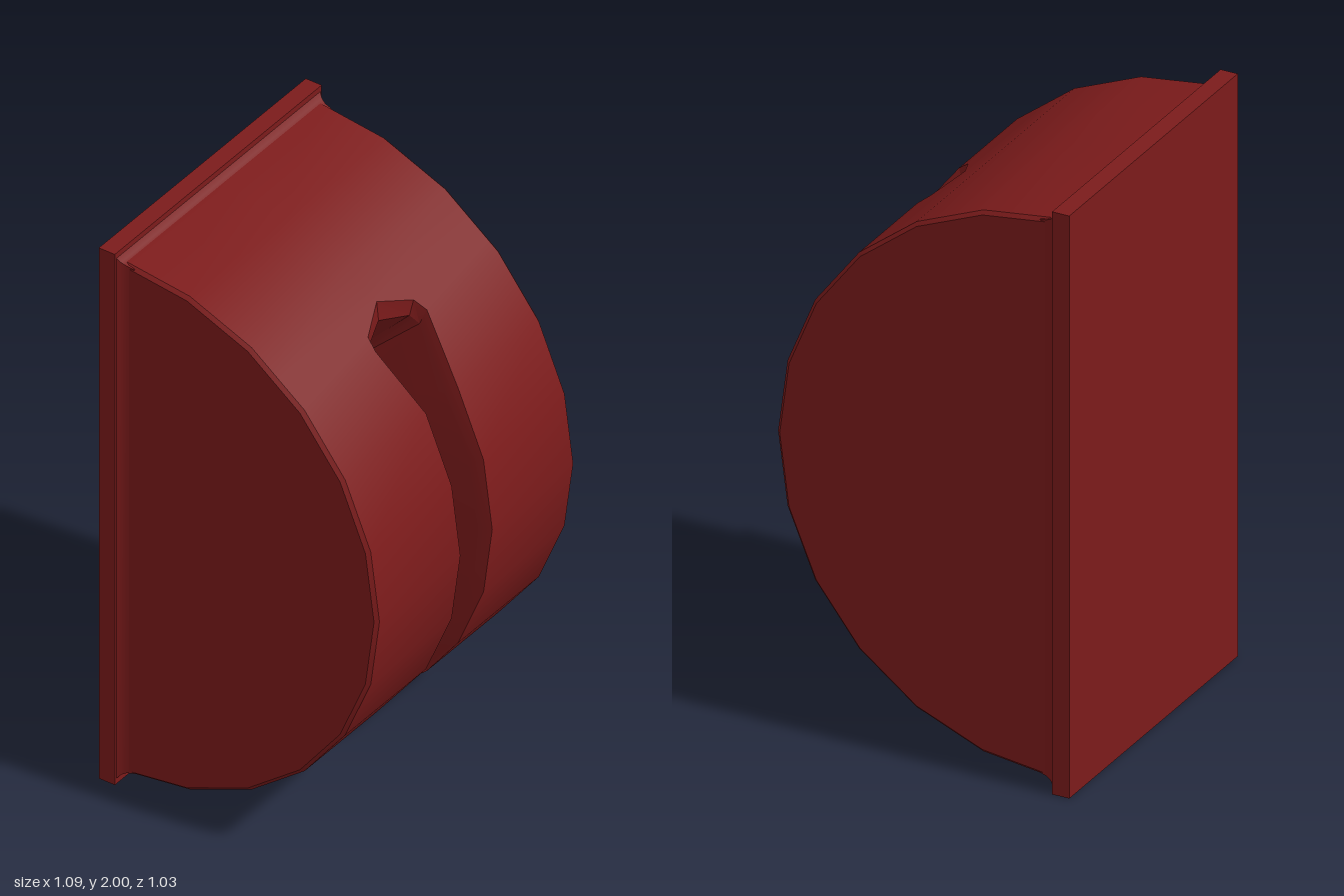
import * as THREE from 'three';
import { toCreasedNormals } from 'three/addons/utils/BufferGeometryUtils.js';

const R = 0.962, AXIS_Z = -0.447, STEP = 15;

// Point on a faceted arc (15 degree chords) around the body's axis
function arcPoint(x, deg, r) {
  const k = Math.floor(deg / STEP), f = deg / STEP - k;
  const a = THREE.MathUtils.degToRad(k * STEP), b = THREE.MathUtils.degToRad((k + 1) * STEP);
  const c = THREE.MathUtils.lerp(Math.cos(a), Math.cos(b), f);
  const s = THREE.MathUtils.lerp(Math.sin(a), Math.sin(b), f);
  return new THREE.Vector3(x, 1 + r * s, AXIS_Z + r * c);
}

// Collects quads and triangles, leaving out collapsed ones
class Faces {
  constructor() { this.data = []; }
  tri(a, b, c) {
    if (new THREE.Triangle(a, b, c).getArea() < 1e-8) return;
    for (const p of [a, b, c]) this.data.push(p.x, p.y, p.z);
  }
  quad(a, b, c, d) { this.tri(a, b, c); this.tri(a, c, d); }
  build(crease) {
    const g = new THREE.BufferGeometry();
    g.setAttribute('position', new THREE.Float32BufferAttribute(this.data, 3));
    g.computeVertexNormals();
    return toCreasedNormals(g, crease);
  }
}

// Half drum with a flared, pointed slot: one cross-section per angle
function drumGeometry() {
  // outer angle, slot half width at the rim, inner angle, slot half width inside
  const half = [
    [0, 0.084, 0, 0.073], [15, 0.084, 15, 0.073], [30, 0.084, 30, 0.073],
    [45, 0.135, 43.5, 0.125], [48, 0.12, 46, 0.11], [52, 0, 49, 0],
    [60, 0], [75, 0], [90, 0],
  ];
  const mirrored = half.slice(1).reverse().map(([t, w, ti, wi]) => [-t, w, ti === undefined ? ti : -ti, wi]);
  const rows = [...mirrored, ...half].map(([t, w, ti, wi]) => {
    const slot = ti !== undefined;
    const p = [arcPoint(-0.522, t, R - 0.012), arcPoint(-0.51, t, R), arcPoint(-w, t, R)];
    if (slot) p.push(arcPoint(-wi, ti, 0.912), arcPoint(-wi, ti, 0.38));
    else p.push(p[2], p[2]);
    // mirror to the left half
    for (let i = 4; i >= 0; i--) p.push(p[i].clone().setX(-p[i].x));
    return { p, slot };
  });
  const f = new Faces();
  const hubR = new THREE.Vector3(-0.522, 1, AXIS_Z), hubL = new THREE.Vector3(0.522, 1, AXIS_Z);
  for (let i = 0; i < rows.length - 1; i++) {
    const lo = rows[i], hi = rows[i + 1];
    for (let j = 0; j < 9; j++) {
      if (j >= 2 && j <= 6 && !(lo.slot && hi.slot)) continue;
      f.quad(lo.p[j], lo.p[j + 1], hi.p[j + 1], hi.p[j]);
    }
    // flat side caps
    f.tri(hubR, lo.p[0], hi.p[0]);
    f.tri(hubL, hi.p[9], lo.p[9]);
  }
  return f.build(0.4);
}

// Small flared fillet where the drum meets the plate
function filletGeometry() {
  const rings = [[0.519, 0.95, -0.4], [0.523, 0.955, -0.425], [0.529, 0.965, -0.443], [0.537, 0.98, -0.455]]
    .map(([w, h, z]) => [[-1, -1], [1, -1], [1, 1], [-1, 1]].map(([sx, sy]) => new THREE.Vector3(sx * w, 1 + sy * h, z)));
  const f = new Faces();
  for (let i = 0; i < rings.length - 1; i++) {
    for (let k = 0; k < 4; k++) {
      const n = (k + 1) % 4;
      f.quad(rings[i][k], rings[i + 1][k], rings[i + 1][n], rings[i][n]);
    }
  }
  return f.build(0.7);
}

export function createModel() {
  const group = new THREE.Group();
  const material = new THREE.MeshStandardMaterial({ color: 0x7c1b1b });
  const add = (name, geometry) => {
    const mesh = new THREE.Mesh(geometry, material);
    mesh.name = name;
    group.add(mesh);
    return mesh;
  };
  add('slottedDrum', drumGeometry());
  add('baseFillet', filletGeometry());
  add('backPlate', new THREE.BoxGeometry(1.09, 2, 0.06)).position.set(0, 1, -0.485);
  return group;
}
